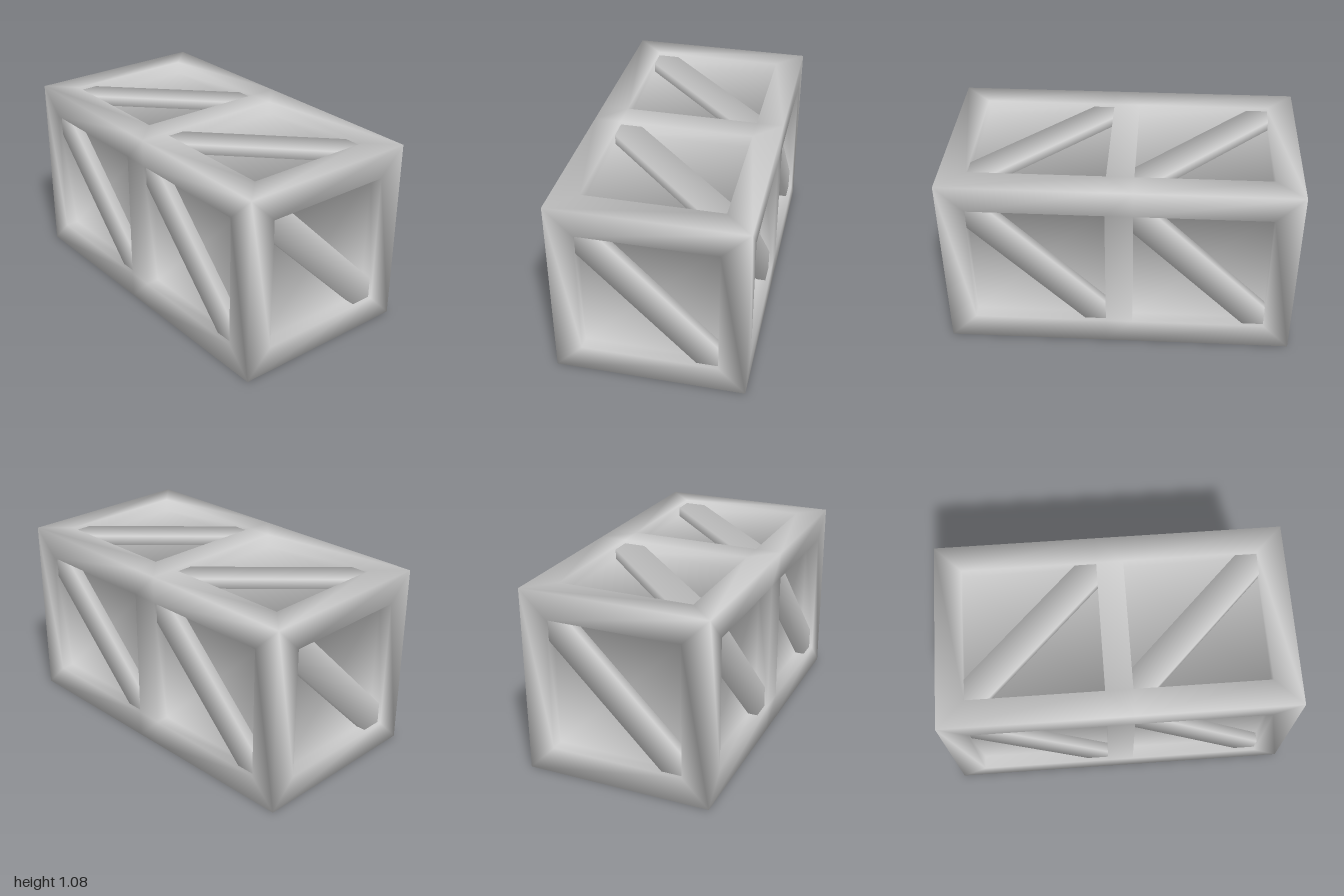
import * as THREE from 'three';

const H = 0.54;        // half height and half depth
const RIM = 0.155;     // width of the frame beams
const MID = 0.077;     // half width of the middle post
const DEPTH = 0.077;   // depth of the recessed panels

const X = new THREE.Vector3(1, 0, 0);
const Y = new THREE.Vector3(0, 1, 0);
const Z = new THREE.Vector3(0, 0, 1);
const neg = (v) => v.clone().negate();

const FULL = [-H, H], OPEN = [-H + RIM, H - RIM];
const HALVES = [
  { out: [-1, -MID], inn: [-1 + RIM, -MID] },
  { out: [MID, 1], inn: [MID, 1 - RIM] },
];

// Each bay: face axes (u x v = outward n), distance of the face, outer and inner rectangle
function makeBays() {
  const bays = [];
  for (const h of HALVES) {
    for (const u of [X, neg(X)]) // front and back
      bays.push({ u, v: Y, dist: H, ou: h.out, ov: FULL, iu: h.inn, iv: OPEN });
    for (const u of [Z, neg(Z)]) // top and bottom
      bays.push({ u, v: X, dist: H, ou: FULL, ov: h.out, iu: OPEN, iv: h.inn });
  }
  for (const u of [Z, neg(Z)]) // two ends
    bays.push({ u, v: Y, dist: 1, ou: FULL, ov: FULL, iu: OPEN, iv: OPEN });
  for (const b of bays) b.n = new THREE.Vector3().crossVectors(b.u, b.v);
  return bays;
}

// Corners of a rectangle on a face, counter-clockwise from outside
function rect(u, v, us, vs, d) {
  const n = new THREE.Vector3().crossVectors(u, v);
  return [[0, 0], [1, 0], [1, 1], [0, 1]].map(([i, j]) => new THREE.Vector3()
    .addScaledVector(u, us[i]).addScaledVector(v, vs[j]).addScaledVector(n, d));
}

const quadNormal = (q) => q[2].clone().sub(q[0]).cross(q[3].clone().sub(q[1]));

// Quads to a geometry, with normals shared by all corners at the same place
function smoothQuads(quads) {
  const key = (p) => p.toArray().map((c) => Math.round(c * 1000)).join();
  const sums = new Map();
  for (const q of quads) {
    const n = quadNormal(q).normalize();
    for (const p of q) {
      const k = key(p);
      if (!sums.has(k)) sums.set(k, new THREE.Vector3());
      sums.get(k).add(n);
    }
  }
  const pos = [], nor = [];
  for (const q of quads)
    for (const i of [0, 1, 2, 0, 2, 3]) {
      pos.push(...q[i].toArray());
      nor.push(...sums.get(key(q[i])).clone().normalize().toArray());
    }
  const g = new THREE.BufferGeometry();
  g.setAttribute('position', new THREE.Float32BufferAttribute(pos, 3));
  g.setAttribute('normal', new THREE.Float32BufferAttribute(nor, 3));
  return g;
}

// Mitred rim, straight recess walls and back panel of one bay
function bayQuads(b) {
  const outer = rect(b.u, b.v, b.ou, b.ov, b.dist);
  const inner = rect(b.u, b.v, b.iu, b.iv, b.dist);
  const back = rect(b.u, b.v, b.iu, b.iv, b.dist - DEPTH);
  const quads = [back];
  for (let i = 0; i < 4; i++) {
    const j = (i + 1) % 4;
    quads.push([outer[i], outer[j], inner[j], inner[i]]);
    quads.push([inner[i], inner[j], back[j], back[i]]);
  }
  return quads.filter((q) => quadNormal(q).length() > 1e-6); // no rim beside the post
}

// Flat middle posts on the four long faces
function postQuads() {
  const quads = [], post = [-MID, MID];
  const rows = [[FULL[0], OPEN[0]], OPEN, [OPEN[1], FULL[1]]];
  for (const row of rows) {
    for (const u of [X, neg(X)]) quads.push(rect(u, Y, post, row, H));
    for (const u of [Z, neg(Z)]) quads.push(rect(u, X, row, post, H));
  }
  return quads;
}

// Brace with normals rounded around its length
function braceGeometry(length, width, thick) {
  const g = new THREE.BoxGeometry(length, width, thick);
  const p = g.attributes.position, n = g.attributes.normal;
  for (let i = 0; i < p.count; i++)
    n.setXYZ(i, 0, Math.sign(p.getY(i)) * Math.SQRT1_2, Math.sign(p.getZ(i)) * Math.SQRT1_2);
  return g;
}

export function createModel() {
  const model = new THREE.Group();
  model.name = 'trussBlock';
  const material = new THREE.MeshStandardMaterial({ color: 0xcccccc });
  const bays = makeBays();

  const frame = new THREE.Mesh(smoothQuads([...bays.flatMap(bayQuads), ...postQuads()]), material);
  frame.name = 'frame';
  frame.position.y = H;
  model.add(frame);

  // One diagonal brace per bay, its ends buried in the frame corners
  const geometry = braceGeometry(1.17, 0.177, 0.08);
  for (const b of bays) {
    const holder = new THREE.Group();
    holder.name = 'braceBay';
    holder.quaternion.setFromRotationMatrix(new THREE.Matrix4().makeBasis(b.u, b.v, b.n));
    holder.position.y = H;
    const brace = new THREE.Mesh(geometry, material);
    brace.name = 'diagonalBrace';
    // face axes of the back and bottom run backwards, so the bay centre is taken along them
    brace.position.set((b.iu[0] + b.iu[1]) / 2, (b.iv[0] + b.iv[1]) / 2, b.dist - 0.06);
    brace.rotation.z = -Math.PI / 4;
    holder.add(brace);
    model.add(holder);
  }
  return model;
}
